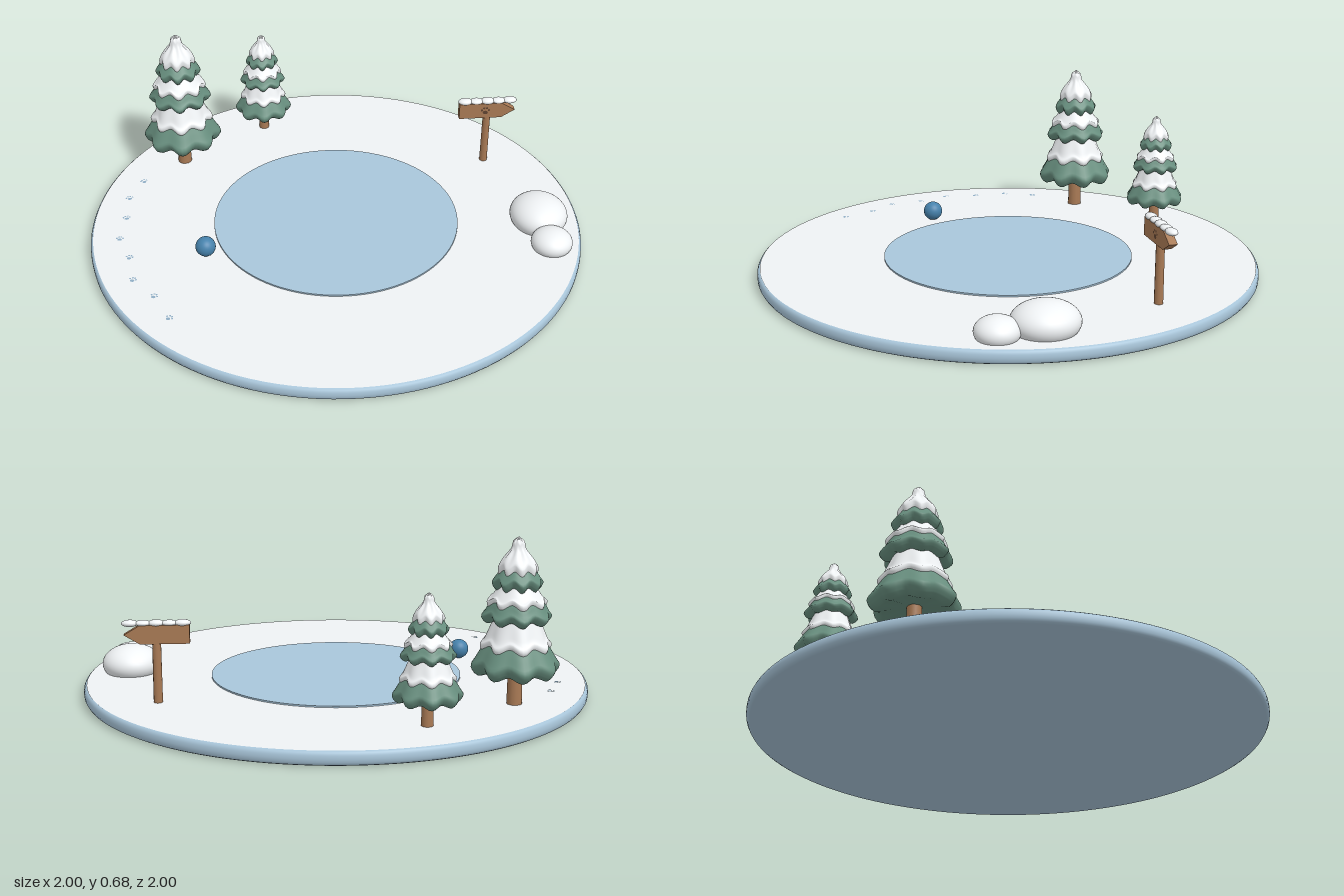
import * as THREE from 'three';
import { mergeVertices } from 'three/addons/utils/BufferGeometryUtils.js';

const mat = (color, extra = {}) => new THREE.MeshStandardMaterial({ color, ...extra });
const SNOW = mat(0xeff2f4);
const ICE = mat(0xa9c6da);
const GREEN = mat(0x688f7f);
const WOOD = mat(0xa97a55);
const BLUE = mat(0x4682ac);
const PRINT = mat(0x8fadc4, { side: THREE.DoubleSide });
const DARK = mat(0x5f4330, { side: THREE.DoubleSide });
const GROUND = 0.053;

function add(parent, name, geometry, material, x = 0, y = 0, z = 0) {
  const mesh = new THREE.Mesh(geometry, material);
  mesh.name = name;
  mesh.position.set(x, y, z);
  parent.add(mesh);
  return mesh;
}

const lathe = (points, segments) =>
  new THREE.LatheGeometry(points.map(([r, y]) => new THREE.Vector2(r, y)), segments);

// Lathe whose radius swells into eight lobes; lobes also droop.
// Each profile point is [radius, y, lobe strength].
function lobedLayer(profile) {
  const curve = new THREE.CatmullRomCurve3(profile.map(p => new THREE.Vector3(...p)), false, 'centripetal');
  const points = curve.getPoints(profile.length * 3);
  const segments = 64;
  const geometry = lathe(points.map(p => [Math.max(p.x, 0), p.y]), segments);
  const pos = geometry.attributes.position;
  for (let i = 0; i < pos.count; i++) {
    const wave = Math.cos(8 * Math.atan2(pos.getX(i), pos.getZ(i)));
    const strength = points[i % points.length].z;
    const swell = 1 + 0.07 * strength * wave;
    pos.setXYZ(i, pos.getX(i) * swell, pos.getY(i) - 0.009 * strength * wave, pos.getZ(i) * swell);
  }
  geometry.deleteAttribute('uv');
  geometry.deleteAttribute('normal');
  const smooth = mergeVertices(geometry, 1e-5);
  smooth.computeVertexNormals();
  return smooth;
}

function makeTree(name, x, z, scale) {
  const tree = new THREE.Group();
  tree.name = name;
  add(tree, 'trunk', new THREE.CylinderGeometry(0.026, 0.029, 0.18, 12), WOOD, 0, 0.09);

  // Each tier: skirt rim radius and height, snow rim radius and height, top radius and height
  const tiers = [
    [0.152, 0.145, 0.124, 0.225, 0.08, 0.33],
    [0.12, 0.332, 0.104, 0.385, 0.058, 0.455],
    [0.086, 0.455, 0.069, 0.502, 0.004, 0.621],
  ];
  tiers.forEach(([r, y, sr, sy, tr, ty], i) => {
    const droop = i === 0 ? 0.022 : 0.014;
    add(tree, 'skirt' + (i + 1), lobedLayer([
      [0.02, y - droop * 0.3, 0], [r * 0.65, y - droop, 0.6], [r * 0.93, y - droop * 0.8, 1],
      [r, y, 1], [r * 0.93, y + (sy - y) * 0.45, 0.8], [sr - 0.008, sy, 0.7], [tr * 0.85, ty - 0.02, 0.2],
    ]), GREEN);
    add(tree, i === 2 ? 'snowCap' : 'snowLayer' + (i + 1), lobedLayer([
      [sr * 0.8, sy - 0.004, 0.8], [sr * 0.97, sy - 0.007, 1], [sr, sy + 0.003, 1],
      [sr * 0.9, sy + (ty - sy) * 0.25, 0.8],
      [THREE.MathUtils.lerp(sr, tr, 0.62), sy + (ty - sy) * 0.6, 0.6],
      ...(i === 2 ? [[0.019, ty - 0.015, 0.3]] : []),
      [tr * (i === 2 ? 0 : 1), ty, 0.2],
    ]), SNOW);
  });
  tree.scale.setScalar(scale);
  tree.position.set(x, GROUND, z);
  return tree;
}

// Flat paw print in the XY plane, toes towards +y
function makePaw(name, material, size) {
  const paw = new THREE.Group();
  paw.name = name;
  const pad = add(paw, 'pad', new THREE.CircleGeometry(0.45, 14), material, 0, -0.25);
  pad.scale.y = 0.8;
  for (const [x, y] of [[-0.62, 0.2], [-0.23, 0.6], [0.23, 0.6], [0.62, 0.2]])
    add(paw, 'toe', new THREE.CircleGeometry(0.2, 10), material, x, y);
  paw.scale.setScalar(size);
  return paw;
}

function makeSign() {
  const sign = new THREE.Group();
  sign.name = 'signpost';
  add(sign, 'post', new THREE.CylinderGeometry(0.016, 0.017, 0.28, 12), WOOD, 0, 0.14);

  // Arrow board
  const arrow = new THREE.Shape();
  arrow.moveTo(-0.122, 0.224);
  arrow.lineTo(0.06, 0.224);
  arrow.lineTo(0.118, 0.259);
  arrow.lineTo(0.06, 0.294);
  arrow.lineTo(-0.122, 0.294);
  arrow.closePath();
  add(sign, 'arrowBoard', new THREE.ExtrudeGeometry(arrow, { depth: 0.032, bevelEnabled: false }),
    WOOD, 0, 0, -0.016);
  const paw = makePaw('boardPaw', DARK, 0.025);
  paw.position.set(-0.01, 0.258, 0.0175);
  sign.add(paw);

  // Row of snow lumps along the top edge
  for (let i = 0; i < 5; i++) {
    const lump = add(sign, 'snowLump', new THREE.SphereGeometry(1, 20, 14), SNOW,
      -0.096 + i * 0.048, 0.3, 0);
    lump.scale.set(0.031, i % 2 ? 0.011 : 0.013, 0.022);
  }
  sign.position.set(0.685, GROUND, -0.38);
  return sign;
}

export function createModel() {
  const model = new THREE.Group();
  model.name = 'winterPond';

  // Round base with a softened rim
  add(model, 'base', lathe([[0, 0], [0.985, 0], [0.994, 0.005], [0.999, 0.014], [1, 0.026],
    [0.999, 0.038], [0.995, 0.047], [0.988, 0.052], [0.98, 0.052]], 128), ICE);
  const snow = add(model, 'snowGround', new THREE.CircleGeometry(0.989, 128), SNOW, 0, GROUND);
  snow.rotation.x = -Math.PI / 2;
  add(model, 'pond', new THREE.CylinderGeometry(0.5, 0.5, 0.012, 96), ICE, 0, GROUND);

  model.add(makeTree('largeTree', -0.626, -0.485, 1));
  model.add(makeTree('smallTree', -0.268, -0.735, 0.758));
  model.add(makeSign());

  add(model, 'ball', new THREE.SphereGeometry(0.04, 32, 20), BLUE, -0.533, 0.095, 0.2);

  // Snow mounds
  const mounds = [[0.825, 0.087, 0.088, 0.117, 0.075, 0.127], [0.841, 0.075, 0.262, 0.083, 0.054, 0.083]];
  for (const [x, y, z, rx, ry, rz] of mounds)
    add(model, 'snowMound', new THREE.SphereGeometry(1, 40, 24), SNOW, x, y, z).scale.set(rx, ry, rz);

  // Trail of paw prints curving round the pond
  const trail = [[-0.80, -0.33], [-0.855, -0.21], [-0.86, -0.07], [-0.88, 0.07],
    [-0.835, 0.195], [-0.815, 0.335], [-0.73, 0.44], [-0.67, 0.57]];
  for (const [x, z] of trail) {
    const holder = new THREE.Group();
    holder.name = 'pawPrint';
    const paw = makePaw('print', PRINT, 0.02);
    paw.rotation.x = -Math.PI / 2;
    holder.add(paw);
    holder.rotation.y = -Math.atan2(z, -x);
    holder.position.set(x, GROUND + 0.002, z);
    model.add(holder);
  }
  return model;
}
